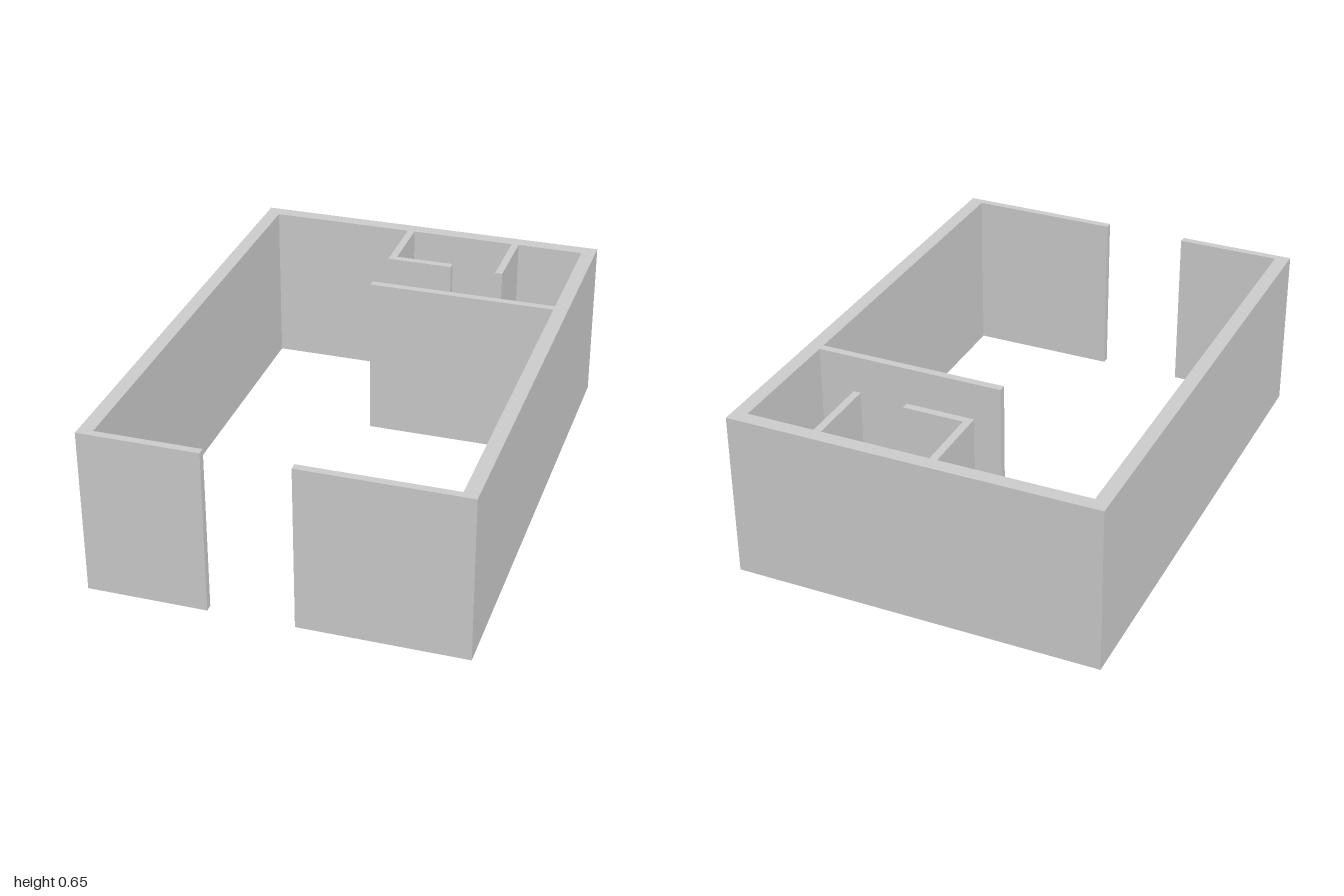
import * as THREE from 'three';

const HEIGHT = 0.65;
const material = new THREE.MeshStandardMaterial({ color: 0xcccccc });

// Raise a floor-plan outline of [x, z] corners to full wall height
function wall(name, plan) {
  const shape = new THREE.Shape(plan.map(([x, z]) => new THREE.Vector2(x, -z)));
  const geometry = new THREE.ExtrudeGeometry(shape, { depth: HEIGHT, bevelEnabled: false });
  geometry.rotateX(-Math.PI / 2);
  const mesh = new THREE.Mesh(geometry, material);
  mesh.name = name;
  return mesh;
}

const rect = (x0, x1, z0, z1) => [[x0, z0], [x1, z0], [x1, z1], [x0, z1]];

export function createModel() {
  const group = new THREE.Group();
  group.name = 'roomWalls';

  const X = 0.712, Z = 1;             // outer half sizes
  const inX = 0.657, backZ = -0.945;  // inner faces of the thick walls
  const frontZ = 0.97;                // inner face of the thin front wall
  const doorL = -0.253, doorR = 0.075; // entrance opening
  const stallX = -0.083, stallZ = -0.657, t = 0.029;

  // Outer walls with the entrance gap in front
  group.add(wall('outerWalls', [
    [doorL, Z], [-X, Z], [-X, -Z], [X, -Z], [X, Z], [doorR, Z],
    [doorR, frontZ], [inX, frontZ], [inX, backZ], [-inX, backZ], [-inX, frontZ], [doorL, frontZ],
  ]));

  // Long partition from the +x wall
  group.add(wall('longPartition', rect(stallX, inX, -0.437, -0.407)));

  // L-shaped partition from the back wall
  group.add(wall('cornerPartition', [
    [stallX, backZ], [stallX + t, backZ], [stallX + t, stallZ - t],
    [0.18, stallZ - t], [0.18, stallZ], [stallX, stallZ],
  ]));

  // Short partition from the back wall
  group.add(wall('shortPartition', rect(0.364, 0.393, backZ, stallZ)));

  return group;
}
